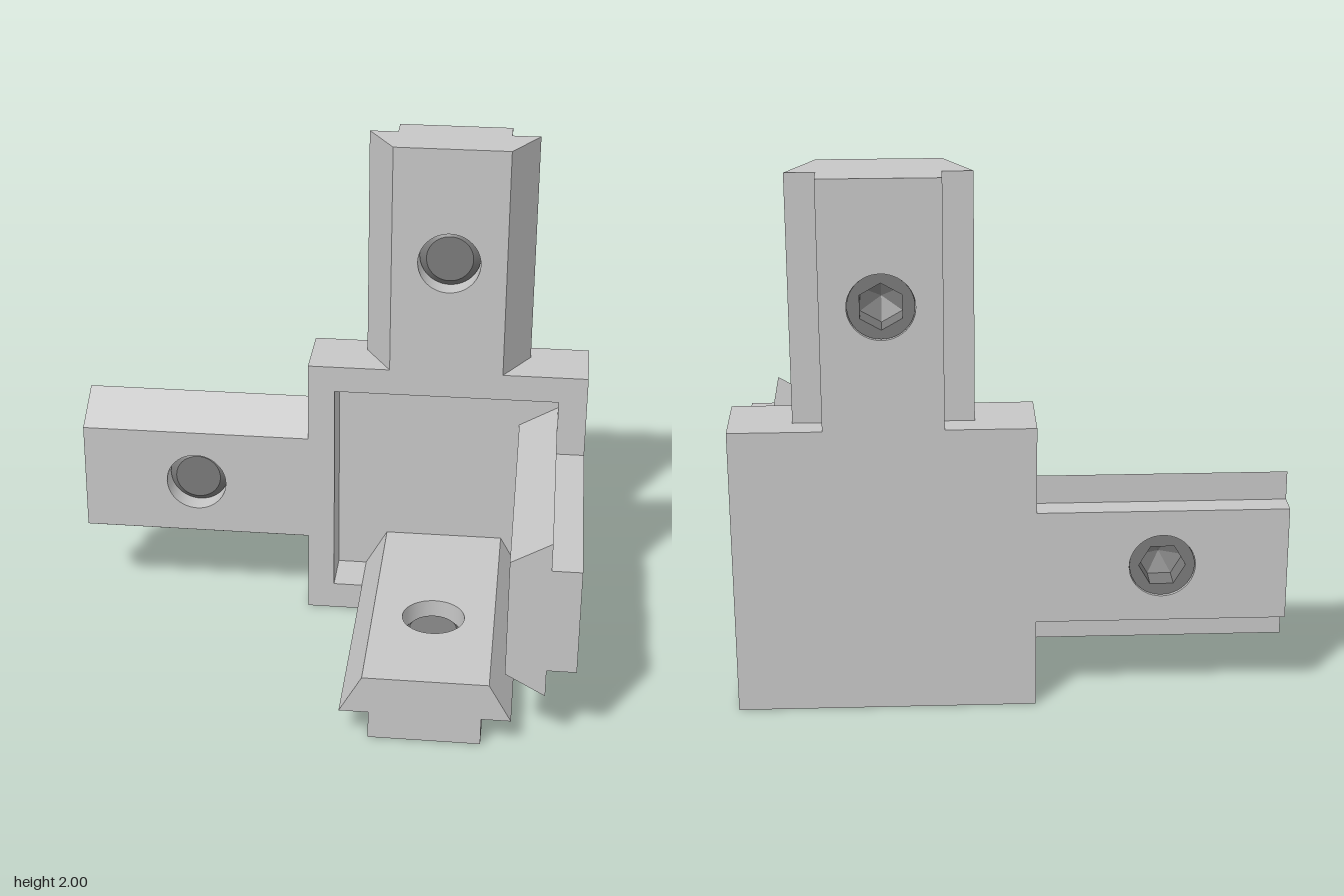
import * as THREE from 'three';
import { mergeGeometries, toCreasedNormals } from 'three/addons/utils/BufferGeometryUtils.js';

const LENGTH = 0.91, HOLE_AT = 0.455, HOLE_R = 0.12;
const BACK = -0.59, FLOOR = -0.51, FRONT = -0.32;

const polygon = (pts) => new THREE.Shape(pts.map(([x, y]) => new THREE.Vector2(x, y)));
const lathe = (pts, sides) =>
  new THREE.LatheGeometry(pts.map(([r, y]) => new THREE.Vector2(r, y)), sides).toNonIndexed();

// Remove the faces lying flat at the given y heights
function dropFaces(geometry, heights) {
  const p = geometry.attributes.position, kept = [];
  for (let i = 0; i < p.count; i += 3) {
    const flat = heights.some((h) => [0, 1, 2].every((k) => Math.abs(p.getY(i + k) - h) < 1e-5));
    if (!flat) for (let k = 0; k < 3; k++) kept.push(i + k);
  }
  geometry.setIndex(kept);
  return geometry.toNonIndexed();
}

// Flat face with a screw hole; sign sets the direction along the arm
function drilledFace(half, sign) {
  const shape = polygon([[-half, 0], [half, 0], [half, sign * LENGTH], [-half, sign * LENGTH]]);
  const hole = new THREE.Path();
  hole.absarc(0, sign * HOLE_AT, HOLE_R, 0, Math.PI * 2, true);
  shape.holes.push(hole);
  return new THREE.ShapeGeometry(shape, 24).toNonIndexed();
}

// Dovetail arm: x across, y from outer to inner face, z along the arm
function armGeometry({ neck, wide, face, step, thick }) {
  const profile = polygon([
    [-neck, 0], [neck, 0], [neck, step], [wide, step],
    [face, thick], [-face, thick], [-wide, step], [-neck, step],
  ]);
  const solid = new THREE.ExtrudeGeometry(profile, { depth: LENGTH, bevelEnabled: false });
  const sides = dropFaces(solid.index ? solid.toNonIndexed() : solid, [0, thick]);
  const outer = drilledFace(neck, 1).rotateX(Math.PI / 2);
  const inner = drilledFace(face, -1).rotateX(-Math.PI / 2).translate(0, thick, 0);
  const bore = lathe([[HOLE_R, thick], [HOLE_R, 0]], 48).translate(0, 0, HOLE_AT);
  return mergeGeometries([sides, outer, inner, bore]);
}

// Set screw with a hex socket at the outer end and a chamfered inner end
function screwGeometry(thick) {
  const r = 0.118, hexR = 0.085, start = 0.008, depth = 0.09, end = thick - 0.05;
  const ring = new THREE.Shape().absarc(0, 0, r, 0, Math.PI * 2, false);
  const hex = [];
  for (let i = 0; i < 6; i++) {
    const a = Math.PI / 2 - (i * Math.PI) / 3;
    hex.push(new THREE.Vector2(Math.cos(a) * hexR, Math.sin(a) * hexR));
  }
  ring.holes.push(new THREE.Path(hex));
  const collar = new THREE.ExtrudeGeometry(ring, { depth, bevelEnabled: false, curveSegments: 24 })
    .rotateX(-Math.PI / 2).translate(0, start, 0);
  const socketEnd = lathe([[0, start + depth + 0.04], [hexR, start + depth]], 6);
  socketEnd.computeVertexNormals();
  const tip = lathe([[r, start + depth], [r, end - 0.03], [0.09, end], [0, end]], 48);
  return mergeGeometries([toCreasedNormals(collar, 0.5), socketEnd, toCreasedNormals(tip, 0.5)]);
}

export function createModel() {
  const model = new THREE.Group();
  const bodyGrey = new THREE.MeshStandardMaterial({ color: 0xc6c6c6 });
  bodyGrey.name = 'light grey body';
  const screwGrey = new THREE.MeshStandardMaterial({ color: 0x7a7a7a });
  screwGrey.name = 'dark grey screw';

  const add = (parent, name, geometry, material) => {
    const mesh = new THREE.Mesh(geometry, material);
    mesh.name = name;
    parent.add(mesh);
    return mesh;
  };

  // Corner block: back plate and a rim whose pocket leaves the dovetail roots standing
  const corner = new THREE.Group();
  corner.name = 'cornerBlock';
  model.add(corner);
  const outline = () => polygon([[-0.09, 0], [1, 0], [1, 1.09], [-0.09, 1.09]]);
  const rim = outline();
  rim.holes.push(new THREE.Path(polygon([
    [0.015, 0.11], [0.13, 0.11], [0.215, 0.26], [0.685, 0.26], [0.77, 0.11], [0.89, 0.11],
    [0.89, 0.23], [0.74, 0.315], [0.74, 0.785], [0.89, 0.87], [0.89, 0.985], [0.015, 0.985],
  ]).getPoints()));
  const slab = (shape, from, to) =>
    new THREE.ExtrudeGeometry(shape, { depth: to - from, bevelEnabled: false }).translate(0, 0, from);
  add(corner, 'backPlate', slab(outline(), BACK, FLOOR), bodyGrey);
  add(corner, 'pocketRim', slab(rim, FLOOR, FRONT), bodyGrey);

  // Arms: each is placed by its thickness and length directions
  const flat = { neck: 0.215, wide: 0.323, face: 0.22, step: 0.09, thick: 0.27 };
  const forward = { neck: 0.21, wide: 0.32, face: 0.235, step: 0.11, thick: 0.26 };
  const arms = [
    ['upperArm', flat, [0.45, 1.09, BACK], [0, 0, 1], [0, 1, 0]],
    ['rightArm', flat, [-0.09, 0.55, BACK], [0, 0, 1], [-1, 0, 0]],
    ['lowerFrontArm', forward, [0.45, 0, FRONT], [0, 1, 0], [0, 0, 1]],
    ['leftFrontArm', forward, [1, 0.55, FRONT], [-1, 0, 0], [0, 0, 1]],
  ];
  for (const [name, size, at, inward, along] of arms) {
    const arm = new THREE.Group();
    arm.name = name;
    const y = new THREE.Vector3(...inward), z = new THREE.Vector3(...along);
    const x = new THREE.Vector3().crossVectors(y, z);
    arm.quaternion.setFromRotationMatrix(new THREE.Matrix4().makeBasis(x, y, z));
    arm.position.set(...at);
    add(arm, 'dovetail', armGeometry(size), bodyGrey);
    add(arm, 'setScrew', screwGeometry(size.thick), screwGrey).position.z = HOLE_AT;
    model.add(arm);
  }
  return model;
}
